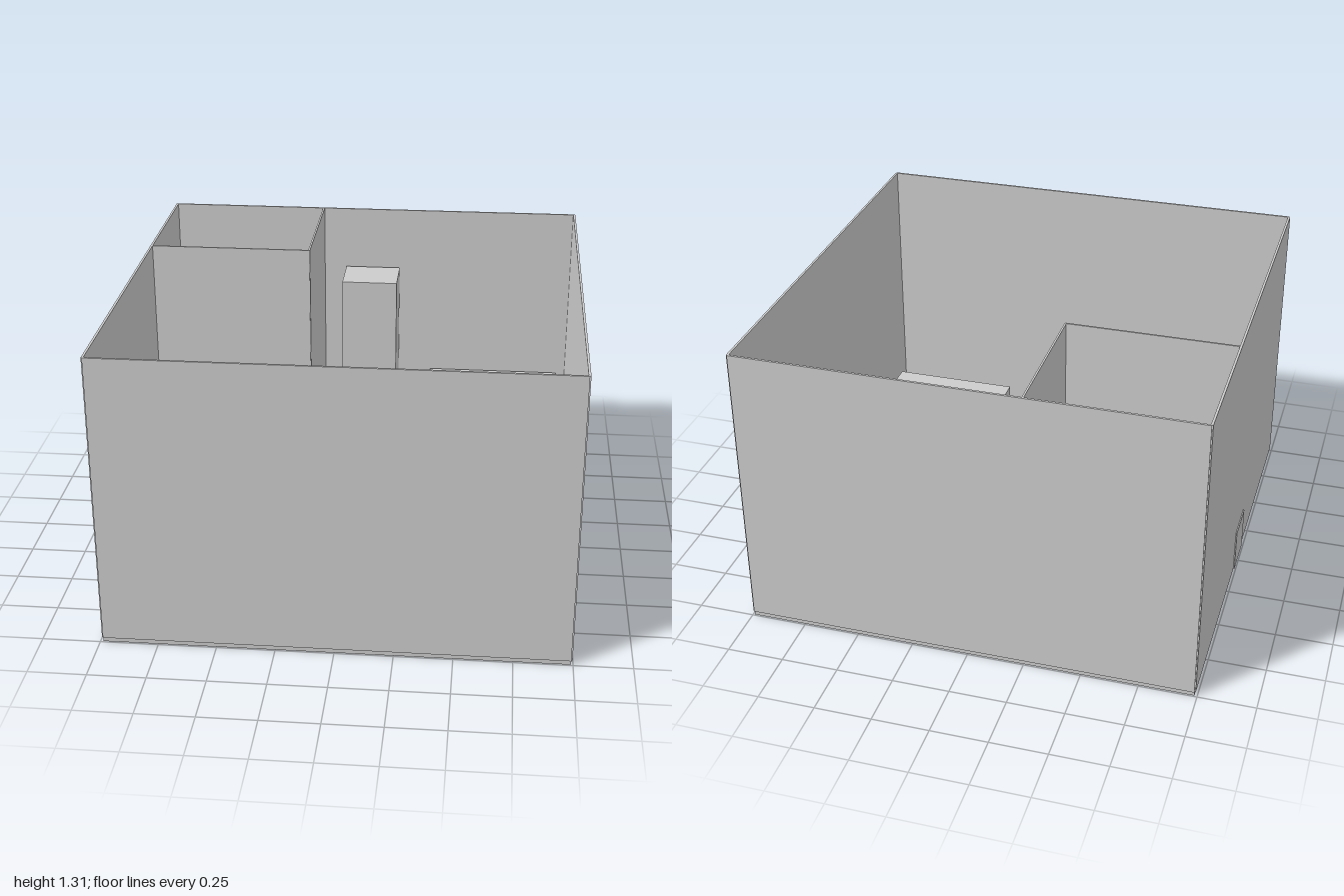
import * as THREE from 'three';

export function createModel() {
  const group = new THREE.Group();
  group.name = 'studioFlat';
  const plaster = new THREE.MeshStandardMaterial({ color: 0xcccccc });
  plaster.name = 'lightGrey';

  // Box given by its extents along each axis
  function block(name, [x0, x1], [y0, y1], [z0, z1]) {
    const mesh = new THREE.Mesh(new THREE.BoxGeometry(x1 - x0, y1 - y0, z1 - z0), plaster);
    mesh.position.set((x0 + x1) / 2, (y0 + y1) / 2, (z0 + z1) / 2);
    mesh.name = name;
    group.add(mesh);
  }

  const floorTop = 0.02;
  const wallHeight = [floorTop, 1.312];
  const cx = 0.002; // room centre in x
  const halfX = 0.99, halfZ = 0.994;
  const t = 0.005; // half wall thickness

  // Floor slab and outer walls
  block('floor', [cx - halfX, cx + halfX], [0, floorTop], [-halfZ, halfZ]);
  for (const s of [-1, 1]) {
    const x = cx + s * halfX, z = s * halfZ;
    block(s < 0 ? 'rightWall' : 'leftWall', [x - t, x + t], wallHeight, [-halfZ, halfZ]);
    block(s < 0 ? 'backWall' : 'frontWall', [cx - halfX, cx + halfX], wallHeight, [z - t, z + t]);
  }

  // Bathroom partitions
  block('bathroomSideWall', [-0.252, -0.244], wallHeight, [-halfZ, -0.35]);
  block('bathroomFrontWall', [cx - halfX, -0.246], wallHeight, [-0.354, -0.346]);

  // Furniture: name, x extent, z extent, height above the floor
  const furniture = [
    ['showerTray', [-0.94, -0.6], [-0.985, -0.645], 0.05],
    ['washbasin', [-0.485, -0.287], [-0.948, -0.75], 0.42],
    ['toilet', [-0.64, -0.445], [-0.622, -0.375], 0.2],
    ['fridge', [-0.133, 0.135], [-0.972, -0.743], 0.995],
    ['kitchenCounter', [0.298, 0.942], [-0.972, -0.675], 0.45],
    ['bed', [0.35, 0.942], [-0.178, 0.813], 0.25],
    ['sofa', [-0.865, -0.073], [0.62, 0.963], 0.4],
    ['innerChair', [-0.47, -0.272], [-0.1, 0.098], 0.2],
    ['wallChair', [-0.998, -0.8], [-0.1, 0.098], 0.2],
  ];
  for (const [name, x, z, h] of furniture) block(name, x, [floorTop, floorTop + h], z);

  // Table, solid like the rest of the furniture
  block('table', [-0.966, -0.66], [floorTop, 0.39], [-0.3, 0.295]);

  return group;
}
